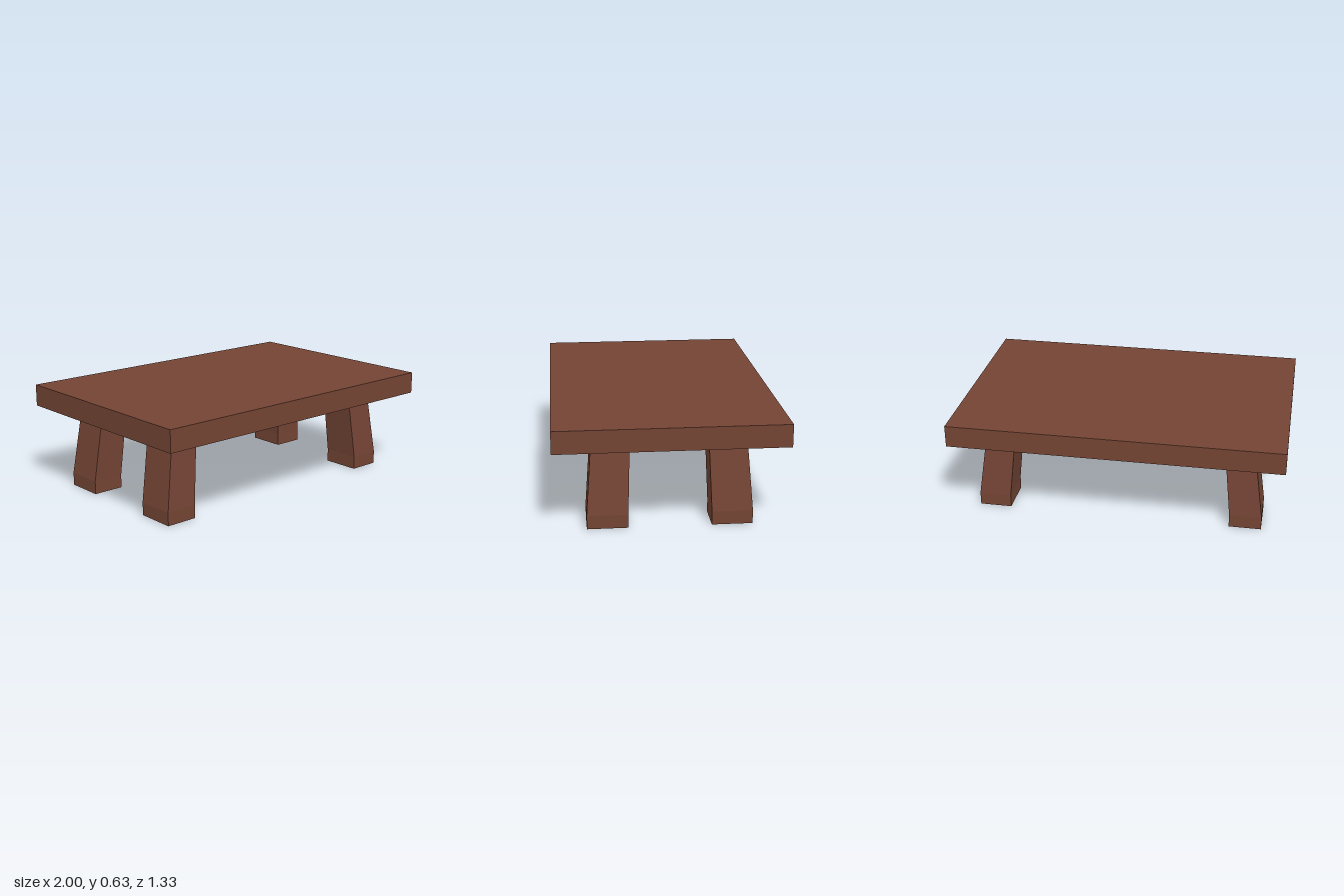
import * as THREE from 'three';

const wood = new THREE.MeshStandardMaterial({ color: 0x734434, flatShading: true });

// Leg cross-sections: height, inner/outer x, inner/outer z
const sections = [
  { y: 0, x: [0.68, 0.875], z: [0.24, 0.477] },
  { y: 0.08, x: [0.68, 0.875], z: [0.24, 0.477] },
  { y: 0.5, x: [0.637, 0.815], z: [0.225, 0.445] },
];

// Splayed leg with a straight foot, for the corner given by the signs sx, sz
function makeLeg(sx, sz) {
  const geometry = new THREE.BoxGeometry(2, 2, 2, 1, 2, 1);
  const p = geometry.attributes.position;
  for (let i = 0; i < p.count; i++) {
    const s = sections[Math.round(p.getY(i)) + 1];
    const outerX = p.getX(i) * sx > 0 ? 1 : 0;
    const outerZ = p.getZ(i) * sz > 0 ? 1 : 0;
    p.setXYZ(i, sx * s.x[outerX], s.y, sz * s.z[outerZ]);
  }
  const flat = geometry.toNonIndexed();
  flat.computeVertexNormals();
  return new THREE.Mesh(flat, wood);
}

export function createModel() {
  const table = new THREE.Group();
  table.name = 'lowTable';

  // Thick slab top
  const top = new THREE.Mesh(new THREE.BoxGeometry(2, 0.133, 1.333), wood);
  top.name = 'tableTop';
  top.position.y = 0.5665;
  table.add(top);

  // Four legs
  for (const sx of [1, -1]) {
    for (const sz of [1, -1]) {
      const leg = makeLeg(sx, sz);
      leg.name = (sz > 0 ? 'front' : 'back') + (sx > 0 ? 'Left' : 'Right') + 'Leg';
      table.add(leg);
    }
  }
  return table;
}
